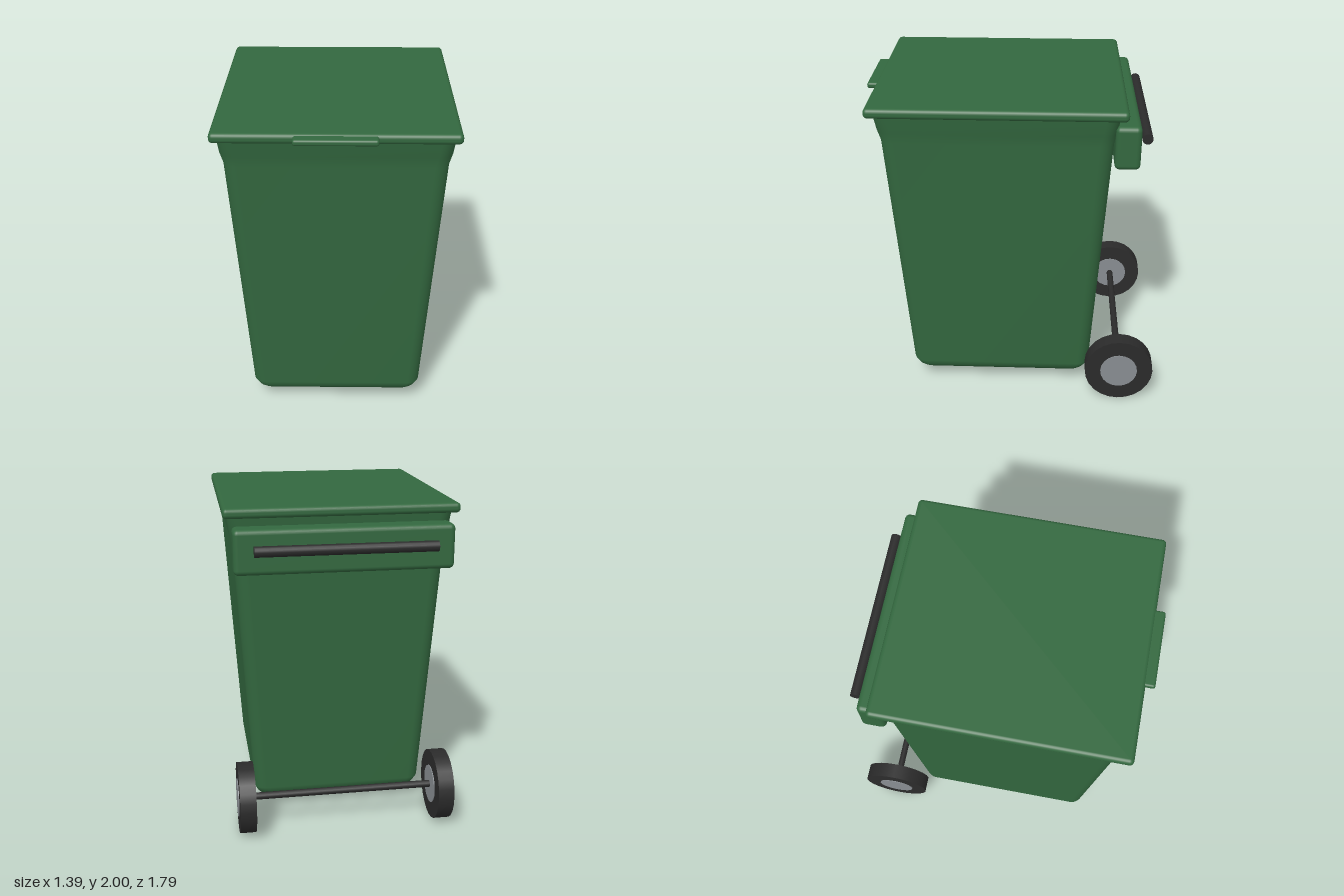
import * as THREE from 'three';
import { RoundedBoxGeometry } from 'three/addons/geometries/RoundedBoxGeometry.js';

const material = (name, color) => {
  const m = new THREE.MeshStandardMaterial({ color });
  m.name = name;
  return m;
};

// Lofts rounded rectangles [y, halfWidth, zBack, zFront, cornerRadius] upwards, closed at the bottom
function loftBin(sections, steps = 6) {
  const pos = [], index = [];
  const n = 4 * (steps + 1);
  for (const [y, w, back, front, r] of sections) {
    const corners = [[w - r, front - r], [r - w, front - r], [r - w, back + r], [w - r, back + r]];
    corners.forEach(([cx, cz], c) => {
      for (let s = 0; s <= steps; s++) {
        const a = (c + s / steps) * Math.PI / 2;
        pos.push(cx + r * Math.cos(a), y, cz + r * Math.sin(a));
      }
    });
  }
  for (let k = 0; k < sections.length - 1; k++) {
    for (let i = 0; i < n; i++) {
      const a = k * n + i, b = k * n + (i + 1) % n;
      index.push(a, a + n, b, b, a + n, b + n);
    }
  }
  const [y0, , b0, f0] = sections[0];
  const centre = pos.length / 3;
  pos.push(0, y0, (b0 + f0) / 2);
  for (let i = 0; i < n; i++) index.push(centre, i, (i + 1) % n);
  const g = new THREE.BufferGeometry();
  g.setAttribute('position', new THREE.Float32BufferAttribute(pos, 3));
  g.setIndex(index);
  g.computeVertexNormals();
  return g;
}

export function createModel() {
  const group = new THREE.Group();
  group.name = 'wheelieBin';
  const green = material('green plastic', 0x33683f);
  const rubber = material('black rubber', 0x2b2b2b);
  const grey = material('grey hub', 0x888d91);

  const add = (name, geometry, mat, x = 0, y = 0, z = 0, parent = group) => {
    const mesh = new THREE.Mesh(geometry, mat);
    mesh.name = name;
    mesh.position.set(x, y, z);
    parent.add(mesh);
    return mesh;
  };
  const box = (w, h, d, r) => new RoundedBoxGeometry(w, h, d, 3, r);
  // Cylinder lying along x
  const rod = (r, length, sides) => new THREE.CylinderGeometry(r, r, length, sides).rotateZ(Math.PI / 2);

  // Tapered body with a chamfered foot and flared rim
  const body = loftBin([
    [0.10, 0.495, -0.445, 0.62, 0.07],
    [0.125, 0.515, -0.465, 0.64, 0.07],
    [0.17, 0.535, -0.49, 0.66, 0.075],
    [1.77, 0.638, -0.583, 0.768, 0.085],
    [1.84, 0.655, -0.60, 0.785, 0.085],
    [1.95, 0.67, -0.615, 0.805, 0.085],
  ]);
  add('body', body, green);

  // Lid with front grip
  add('lid', box(1.39, 0.06, 1.495, 0.025), green, 0, 1.97, 0.0925);
  add('lidGrip', box(0.47, 0.036, 0.12, 0.014), green, 0, 1.973, 0.835);

  // Rear hinge block and handle bar
  add('hingeBlock', box(1.29, 0.265, 0.15, 0.03), green, 0, 1.76, -0.66);
  add('handleBar', rod(0.032, 1.06, 16), rubber, 0, 1.778, -0.778);

  // Axle and wheels
  const wheelY = 0.217, wheelZ = -0.68;
  add('axle', rod(0.022, 1.22, 12), rubber, 0, wheelY, wheelZ);
  for (const side of [-1, 1]) {
    const wheel = new THREE.Group();
    wheel.name = side > 0 ? 'leftWheel' : 'rightWheel';
    wheel.position.set(side * 0.608, wheelY, wheelZ);
    group.add(wheel);
    add('tyre', rod(0.217, 0.098, 24), rubber, 0, 0, 0, wheel);
    add('hub', rod(0.118, 0.108, 20), grey, 0, 0, 0, wheel);
  }
  return group;
}
